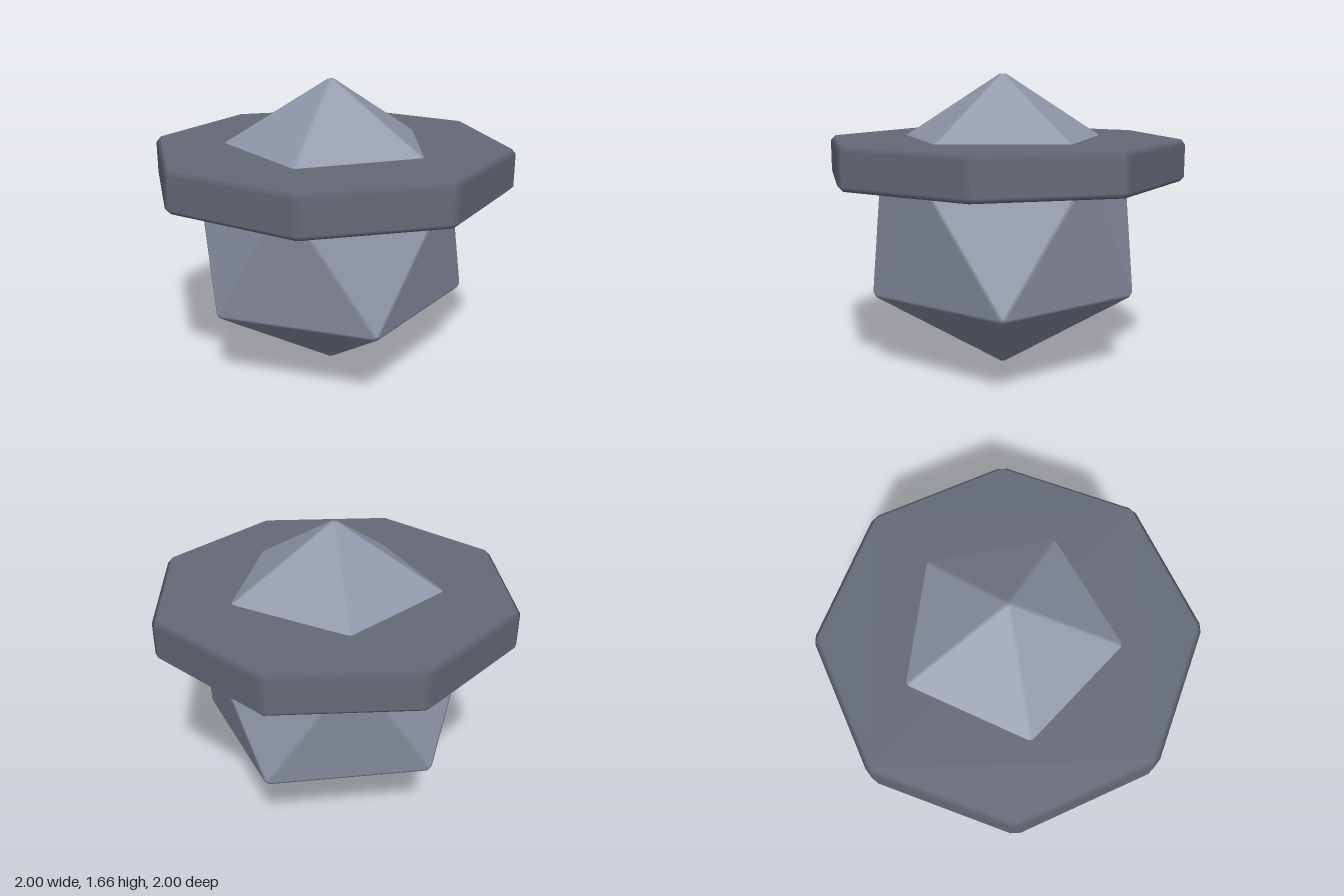
import * as THREE from 'three';
import { ConvexGeometry } from 'three/addons/geometries/ConvexGeometry.js';

const ringPoint = (radius, y, angle) =>
  new THREE.Vector3(radius * Math.cos(angle), y, radius * Math.sin(angle));

// Convex solid centred on the origin: every face is inset by w, the gaps become
// bevels, and each corner keeps its own face normal so the bevels shade softly.
function bevelledSolid(faces, w) {
  const points = [], normals = [];
  for (const face of faces) {
    const normal = new THREE.Plane().setFromCoplanarPoints(face[0], face[1], face[2]).normal;
    if (normal.dot(face[0]) < 0) normal.negate();
    face.forEach((corner, i) => {
      const a = face[(i + 1) % face.length].clone().sub(corner).normalize();
      const b = face[(i + face.length - 1) % face.length].clone().sub(corner).normalize();
      const sine = a.clone().cross(b).length();
      points.push(corner.clone().addScaledVector(a.add(b), w / sine));
      normals.push(normal);
    });
  }
  const geometry = new ConvexGeometry(points);
  const position = geometry.attributes.position;
  const p = new THREE.Vector3();
  for (let i = 0; i < position.count; i++) {
    p.fromBufferAttribute(position, i);
    let best = 0;
    points.forEach((q, j) => {
      if (q.distanceToSquared(p) < points[best].distanceToSquared(p)) best = j;
    });
    geometry.attributes.normal.setXYZ(i, normals[best].x, normals[best].y, normals[best].z);
  }
  return geometry;
}

// Icosahedron standing on one tip, with an upper ring corner on +x
function icosahedronFaces(R) {
  const y = R / Math.sqrt(5), r = 2 * y, step = Math.PI / 5;
  const top = new THREE.Vector3(0, R, 0), bottom = new THREE.Vector3(0, -R, 0);
  const upper = k => ringPoint(r, y, 2 * k * step);
  const lower = k => ringPoint(r, -y, (2 * k + 1) * step);
  const faces = [];
  for (let k = 0; k < 5; k++) {
    faces.push(
      [top, upper(k), upper(k + 1)],
      [upper(k), upper(k + 1), lower(k)],
      [lower(k), lower(k + 1), upper(k + 1)],
      [bottom, lower(k), lower(k + 1)]
    );
  }
  return faces;
}

// Flat prism with a corner on each axis
function prismFaces(sides, R, height) {
  const at = (k, y) => ringPoint(R, y, k * 2 * Math.PI / sides);
  const h = height / 2, top = [], bottom = [], faces = [top, bottom];
  for (let k = 0; k < sides; k++) {
    top.push(at(k, h));
    bottom.push(at(k, -h));
    faces.push([at(k, h), at(k + 1, h), at(k + 1, -h), at(k, -h)]);
  }
  return faces;
}

export function createModel() {
  const paleStone = new THREE.MeshStandardMaterial({ name: 'paleBlueGrey', color: 0x9096aa });
  const darkStone = new THREE.MeshStandardMaterial({ name: 'darkSlate', color: 0x646a77 });
  const group = new THREE.Group();
  group.name = 'crystalWithCollar';

  const crystal = new THREE.Mesh(bevelledSolid(icosahedronFaces(0.843), 0.012), paleStone);
  crystal.name = 'crystal';
  crystal.position.y = 0.8285;

  const collar = new THREE.Mesh(bevelledSolid(prismFaces(8, 1.01, 0.227), 0.027), darkStone);
  collar.name = 'octagonalCollar';
  collar.position.y = 1.192;

  group.add(crystal, collar);
  return group;
}
